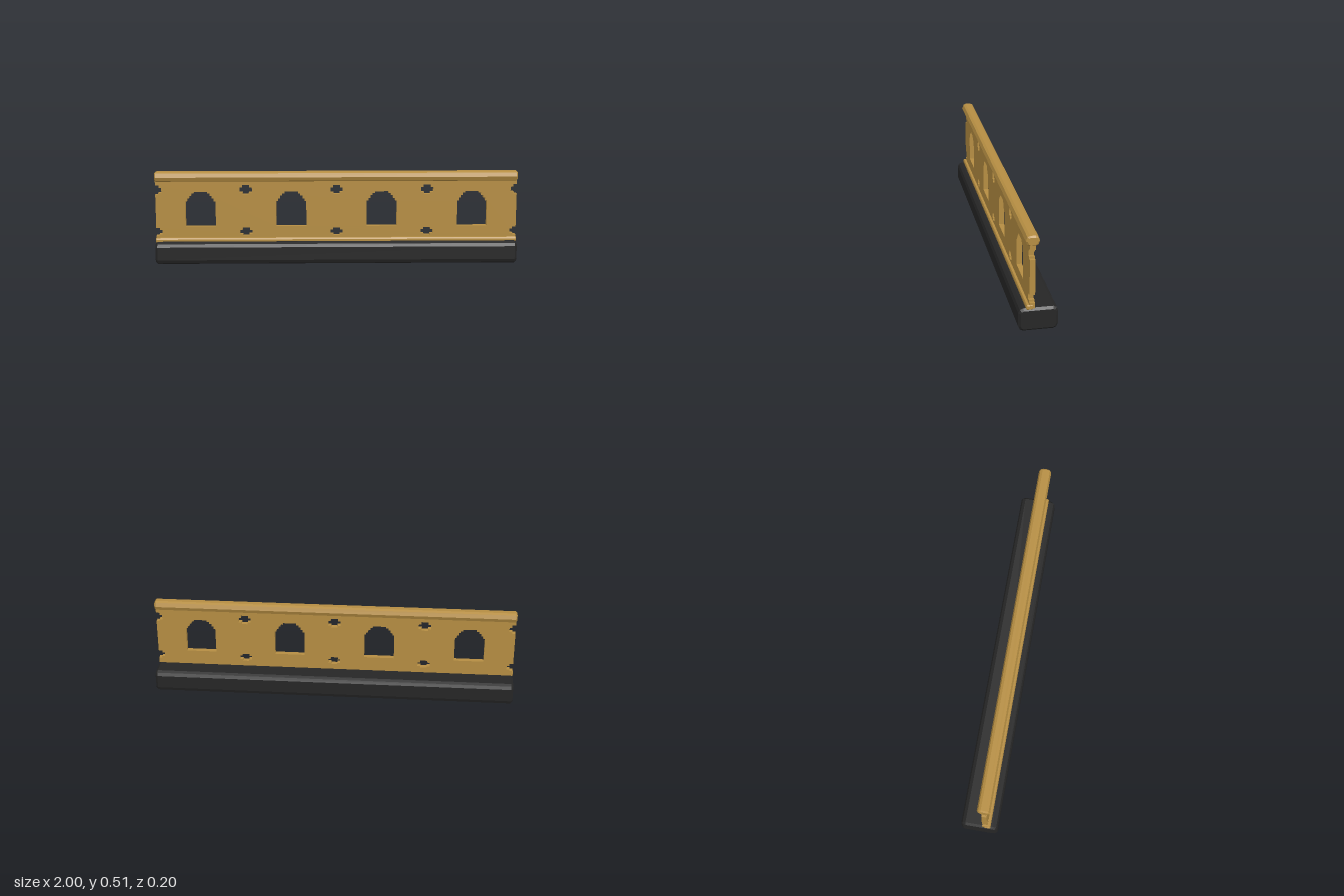
import * as THREE from 'three';

const gold = new THREE.MeshStandardMaterial({ color: 0xb58d42 });
gold.name = 'gold';
const black = new THREE.MeshStandardMaterial({ color: 0x262626 });
black.name = 'black';

const toPath = (points, Type) => new Type(points.map(([x, y]) => new THREE.Vector2(x, y)));

function addMesh(group, name, geometry, material) {
  const mesh = new THREE.Mesh(geometry, material);
  mesh.name = name;
  group.add(mesh);
}

// Long bar along x from a [z, y] section, with chamfered ends
function bar(section, chamfer, halfLength = 1) {
  const geometry = new THREE.ExtrudeGeometry(toPath(section.map(([z, y]) => [-z, y]), THREE.Shape), {
    depth: 2 * (halfLength - chamfer), bevelThickness: chamfer,
    bevelSize: chamfer, bevelOffset: -chamfer, bevelSegments: 1,
  });
  geometry.translate(0, 0, -(halfLength - chamfer));
  return geometry.rotateY(Math.PI / 2);
}

// Right half of a stepped cross, listed from bottom to top
const crossHalf = (h) => [
  [0.017, -h], [0.017, -h * 0.6], [0.034, -h * 0.6],
  [0.034, h * 0.45], [0.02, h * 0.45], [0.02, h],
];
// Full outline from a right half
const mirrored = (half) => [...half, ...half.map(([x, y]) => [-x, y]).reverse()];
const moved = (points, x, y) => points.map(([px, py]) => [px + x, py + y]);

// Right half of a window with a stepped arch
const windowHalf = [
  [0.083, 0.205], [0.083, 0.347], [0.073, 0.347], [0.073, 0.362], [0.062, 0.362],
  [0.062, 0.378], [0.05, 0.378], [0.05, 0.39], [0.037, 0.39], [0.037, 0.4],
];

function piercedPanel() {
  const upper = { y: 0.411, half: crossHalf(0.026) };
  const lower = { y: 0.175, half: crossHalf(0.022) };

  // Outline with half crosses cut into both ends
  const rightEdge = [[1, 0.122]];
  for (const { y, half } of [lower, upper]) {
    rightEdge.push([0.997, y + half[0][1]]);
    rightEdge.push(...half.map(([x, py]) => [0.997 - x, y + py]));
    rightEdge.push([0.997, y + half[5][1]]);
  }
  rightEdge.push([0.997, 0.47]);
  rightEdge[0][0] = 0.997;
  const shape = toPath(mirrored(rightEdge), THREE.Shape);

  // Windows and small crosses
  for (const x of [-0.75, -0.25, 0.25, 0.75]) {
    shape.holes.push(toPath(moved(mirrored(windowHalf), x, 0), THREE.Path));
  }
  for (const x of [-0.5, 0, 0.5]) {
    for (const { y, half } of [lower, upper]) {
      shape.holes.push(toPath(moved(mirrored(half), x, y), THREE.Path));
    }
  }
  return new THREE.ExtrudeGeometry(shape, { depth: 0.028, bevelEnabled: false }).translate(0, 0, 0.018);
}

export function createModel() {
  const group = new THREE.Group();
  group.name = 'balustrade';

  // Heavy base with rounded-off edges
  const baseSection = mirrored([
    [0.076, 0], [0.092, 0.008], [0.1, 0.026], [0.1, 0.098], [0.092, 0.115], [0.076, 0.123],
  ]);
  addMesh(group, 'base', bar(baseSection, 0.012), black);

  addMesh(group, 'piercedPanel', piercedPanel(), gold);

  // Faceted handrail
  const railSection = moved(mirrored([
    [0.014, 0.457], [0.027, 0.463], [0.035, 0.483], [0.027, 0.505], [0.014, 0.511],
  ]), 0.031, 0);
  addMesh(group, 'handrail', bar(railSection, 0.008), gold);

  // Small moulding along the foot of the panel
  const mouldingSection = moved(mirrored([
    [0.014, 0.117], [0.018, 0.123], [0.018, 0.134], [0.014, 0.142],
  ]), 0.044, 0);
  addMesh(group, 'footMoulding', bar(mouldingSection, 0.004), gold);

  return group;
}
